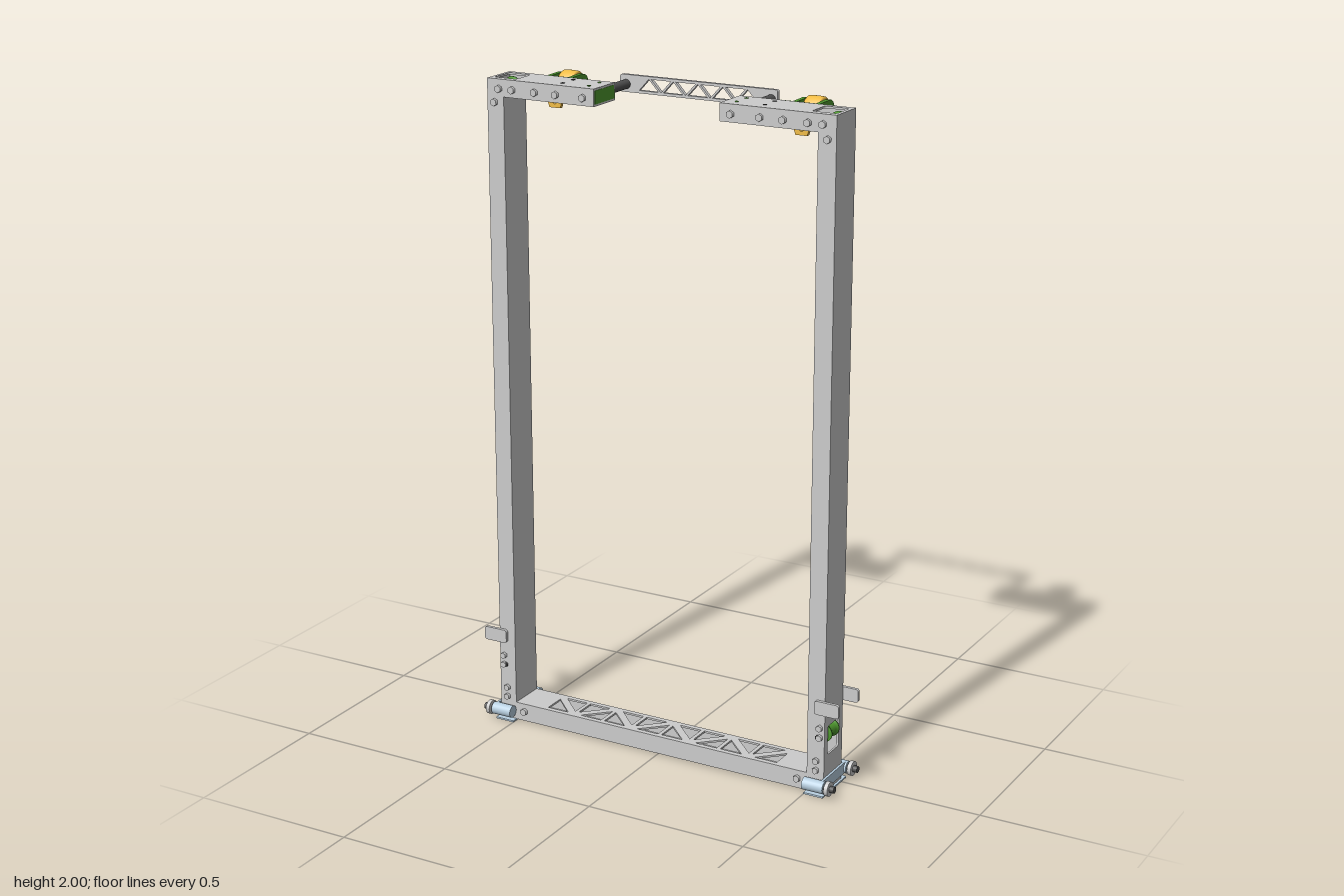
import * as THREE from 'three';

const mat = (color) => new THREE.MeshStandardMaterial({ color });
const grey = mat(0xcccccc), green = mat(0x4f9a2e), yellow = mat(0xf0bc46);
const steel = mat(0xb8cfe0), dark = mat(0x505050);
const T = 0.006;               // wall thickness
const ZB = -0.012, ZF = 0.106; // back and front of the frame
const ZM = (ZB + ZF) / 2;

export function createModel() {
  const root = new THREE.Group();

  const add = (name, geo, m, parent = root) => {
    const mesh = new THREE.Mesh(geo, m);
    mesh.name = name;
    parent.add(mesh);
    return mesh;
  };
  // box from its two corners
  const box = (name, m, x0, x1, y0, y1, z0, z1, parent) => add(name,
    new THREE.BoxGeometry(Math.abs(x1 - x0), y1 - y0, z1 - z0), m, parent)
    .position.set((x0 + x1) / 2, (y0 + y1) / 2, (z0 + z1) / 2);
  // turn something built along y onto the given axis
  const turn = (geo, axis) => {
    if (axis === 'x') geo.rotateZ(-Math.PI / 2);
    if (axis === 'z') geo.rotateX(Math.PI / 2);
    return geo;
  };
  const rod = (name, m, axis, r, len, x, y, z, parent, sides = 20) => add(name,
    turn(new THREE.CylinderGeometry(r, r, len, sides), axis), m, parent).position.set(x, y, z);
  const wheel = (name, m, axis, pts, x, y, z, parent) => add(name,
    turn(new THREE.LatheGeometry(pts.map((p) => new THREE.Vector2(...p)), 32), axis), m, parent)
    .position.set(x, y, z);

  const toShape = (pts) => new THREE.Shape(pts.map((p) => new THREE.Vector2(...p)));
  const rect = (a0, a1, b0, b1) => [[a0, b0], [a1, b0], [a1, b1], [a0, b1]];
  const roundRect = (a0, a1, b0, b1, r) => {
    const pts = [];
    [[a1 - r, b1 - r], [a0 + r, b1 - r], [a0 + r, b0 + r], [a1 - r, b0 + r]].forEach(([a, b], q) => {
      for (let i = 0; i <= 4; i++) {
        const t = (q + i / 4) * Math.PI / 2;
        pts.push([a + r * Math.cos(t), b + r * Math.sin(t)]);
      }
    });
    return pts;
  };
  // flat plate with holes; plane 'xy', 'zy' or 'xz', centred on "at" along its normal
  const plate = (name, m, plane, outline, holes, at, thick = T, parent = root) => {
    const shape = toShape(outline);
    shape.holes = holes.map(toShape);
    const geo = new THREE.ExtrudeGeometry(shape, { depth: thick, bevelEnabled: false });
    geo.translate(0, 0, -thick / 2);
    if (plane === 'zy') geo.rotateY(-Math.PI / 2);
    if (plane === 'xz') geo.rotateX(Math.PI / 2);
    const mesh = add(name, geo, m, parent);
    mesh.position[{ xy: 'z', zy: 'x', xz: 'y' }[plane]] = at;
    return mesh;
  };

  // bottom beam: solid sides, lattice top and bottom
  const beam = new THREE.Group();
  beam.name = 'bottomBeam';
  root.add(beam);
  const lattice = [];
  const za = 0.004, zb = 0.09;
  for (let i = -4; i < 4; i++) {
    const a = i * 0.1 + 0.006, b = a + 0.088, g = 0.016;
    if (i % 2 === 0) lattice.push([[a + g, za], [b, za], [b, zb - g]], [[a, za + g], [b - g, zb], [a, zb]]);
    else lattice.push([[a, za], [b - g, za], [a, zb - g]], [[b, za + g], [b, zb], [a + g, zb]]);
  }
  for (const y of [0.007, 0.057]) plate('beamLattice', grey, 'xz', rect(-0.5, 0.5, ZB, ZF), lattice, y, T, beam);
  box('beamFront', grey, -0.5, 0.5, 0.01, 0.054, ZF - T, ZF, beam);
  box('beamBack', grey, -0.5, 0.5, 0.01, 0.054, ZB, ZB + T, beam);

  // rear tie plate with zigzag openings
  const zig = [], p = 0.04, lo = 1.953, hi = 1.988;
  for (let i = 0; i < 9; i++) {
    const c = (i - 4) * p, h = p - 0.008;
    zig.push(i % 2 ? [[c - h, hi], [c, lo], [c + h, hi]] : [[c - h, lo], [c + h, lo], [c, hi]]);
  }
  plate('tiePlate', grey, 'xy', roundRect(-0.255, 0.255, 1.945, 1.996, 0.006), zig, -0.14, 0.012);

  const side = (s) => {
    const g = new THREE.Group();
    g.name = s > 0 ? 'leftSide' : 'rightSide';
    root.add(g);
    const X = (v) => v * s;
    const bolt = (x, y, both = true, r = 0.011) => {
      rod('bolt', grey, 'z', r, 0.01, X(x), y, ZF + 0.005, g, 6);
      if (both) rod('nut', grey, 'z', r, 0.01, X(x), y, ZB - 0.005, g, 6);
    };

    // hollow upright with a window in its outer wall
    plate('uprightOuter', grey, 'zy', rect(ZB, ZF, 0, 1.996),
      [roundRect(0.012, 0.084, 0.12, 0.21, 0.008)], X(0.552), T, g);
    box('uprightInner', grey, X(0.5), X(0.506), 0, 1.945, ZB, ZF, g);
    box('uprightFront', grey, X(0.506), X(0.549), 0, 1.945, ZF - T, ZF, g);
    box('uprightBack', grey, X(0.506), X(0.549), 0, 1.945, ZB, ZB + T, g);

    // hollow top arm with an opening above the upright
    plate('armTop', grey, 'xz', rect(X(0.2), X(0.549), ZB, ZF),
      [roundRect(Math.min(X(0.47), X(0.544)), Math.max(X(0.47), X(0.544)), 0.006, 0.084, 0.008)], 1.993, T, g);
    box('armBottom', grey, X(0.2), X(0.5), 1.945, 1.951, ZB, ZF, g);
    box('armFront', grey, X(0.2), X(0.549), 1.945, 1.99, ZF - T, ZF, g);
    box('armBack', grey, X(0.2), X(0.549), 1.945, 1.99, ZB, ZB + T, g);
    box('armEndCap', green, X(0.199), X(0.215), 1.951, 1.99, ZB + T, ZF - T, g);
    for (const z of [0.015, 0.072]) {
      rod('capPin', green, 'y', 0.005, 0.004, X(0.235), 1.996, z, g, 12);
      rod('armPin', dark, 'y', 0.006, 0.003, X(0.322), 1.996, z, g, 12);
    }
    for (const x of [0.235, 0.325, 0.395, 0.47, 0.515]) bolt(x, 1.968, x > 0.45);
    bolt(0.53, 1.928);

    // rope pulleys inside the upright
    const pulley = [[0.006, -0.026], [0.028, -0.026], [0.028, -0.021], [0.021, -0.017],
      [0.021, 0.017], [0.028, 0.021], [0.028, 0.026], [0.006, 0.026]];
    wheel('topPulley', green, 'z', pulley, X(0.522), 1.962, ZM, g);
    rod('topPulleyAxle', dark, 'z', 0.007, 0.11, X(0.522), 1.962, ZM, g);
    wheel('lowerPulley', green, 'z', pulley, X(0.534), 0.18, ZM, g);
    rod('lowerPulleyAxle', dark, 'z', 0.007, 0.13, X(0.534), 0.18, ZM, g);
    for (const y of [0.18, 0.21, 0.075, 0.105]) bolt(y > 0.15 ? 0.54 : 0.53, y, true, 0.01);

    // stop tabs on the front and back of the upright
    for (const z of [ZF + 0.006, ZB - 0.006]) {
      plate('stopTab', grey, 'xy', roundRect(Math.min(X(0.525), X(0.603)), Math.max(X(0.525), X(0.603)),
        0.255, 0.297, 0.008), [], z, 0.01, g);
    }

    // foot bracket with two sleeves and their end bolts
    box('footPlate', steel, X(0.5), X(0.562), 0, 0.005, ZB - 0.02, ZF + 0.02, g);
    box('footStrap', steel, X(0.555), X(0.562), 0.02, 0.054, ZB - 0.02, ZF + 0.02, g);
    for (const z of [0.125, -0.031]) {
      rod('footSleeve', steel, 'x', 0.019, 0.067, X(0.5345), 0.035, z, g, 24);
      rod('footBolt', dark, 'x', 0.01, 0.04, X(0.58), 0.035, z, g);
      rod('footRoller', grey, 'x', 0.022, 0.012, X(0.58), 0.035, z, g, 24);
    }
    rod('footCrossPin', dark, 'z', 0.008, 0.13, X(0.53), 0.035, ZM, g);
    bolt(0.47, 0.035);

    // guide wheel in a forked bracket behind the arm
    const wx = X(0.396), wy = 1.964, wz = -0.092;
    plate('forkBase', green, 'xy', roundRect(Math.min(X(0.312), X(0.438)), Math.max(X(0.312), X(0.438)),
      1.945, 1.992, 0.006), [], -0.022, 0.02, g);
    const cheek = [[-0.03, 1.992], [-0.03, 1.944]];
    for (let i = 0; i <= 12; i++) {
      const t = -Math.PI / 2 - i / 12 * Math.PI;
      cheek.push([wz + 0.029 * Math.cos(t), wy + 0.029 * Math.sin(t)]);
    }
    for (const d of [-0.035, 0.035]) plate('forkCheek', green, 'zy', cheek, [], wx + d, 0.013, g);
    wheel('guideWheel', yellow, 'x', [[0.008, -0.027], [0.032, -0.027], [0.036, -0.022], [0.037, -0.008],
      [0.037, 0.008], [0.036, 0.022], [0.032, 0.027], [0.008, 0.027]], wx, wy, wz, g);
    rod('guideAxle', grey, 'x', 0.009, 0.096, wx, wy, wz, g);
    rod('forkBolt', grey, 'z', 0.01, 0.01, X(0.325), 1.968, -0.036, g, 6);

    // tapered tab under the wheel, with a hole
    const hole = roundRect(wx - 0.007, wx + 0.007, 1.917, 1.931, 0.0069);
    plate('wheelTab', yellow, 'xy', [[wx - 0.018, 1.906], [wx + 0.018, 1.906], [wx + 0.026, 1.93],
      [wx + 0.026, 1.945], [wx - 0.026, 1.945], [wx - 0.026, 1.93]], [hole], -0.008, 0.012, g);

    // spacer holding the tie plate
    rod('tieSpacer', dark, 'z', 0.014, 0.122, X(0.235), 1.968, -0.073, g, 24);
    rod('tieBolt', grey, 'z', 0.01, 0.008, X(0.235), 1.968, -0.148, g, 6);
  };
  side(1);
  side(-1);
  return root;
}
